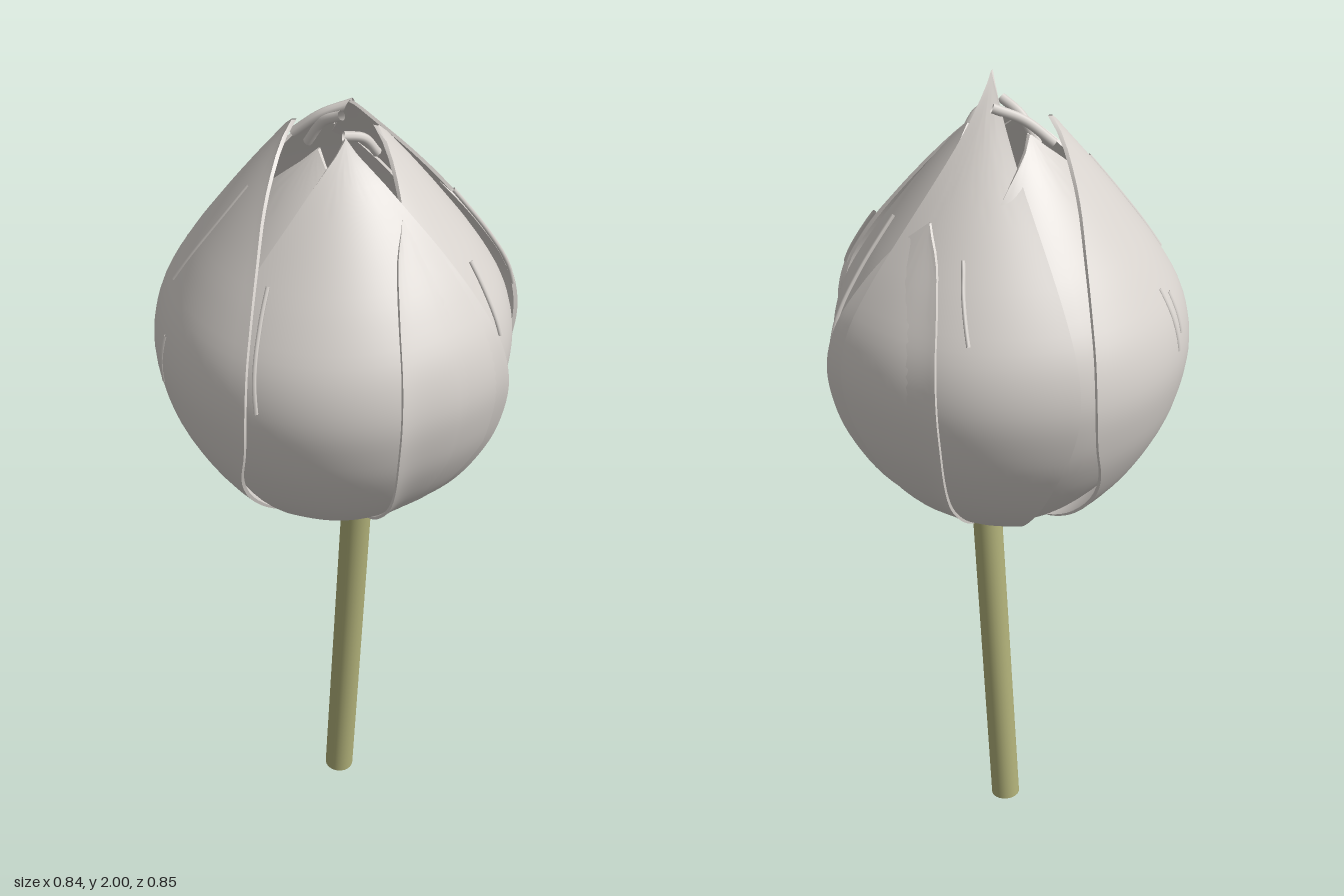
import * as THREE from 'three';
import { toCreasedNormals } from 'three/addons/utils/BufferGeometryUtils.js';

const rad = THREE.MathUtils.degToRad;

// Bud outline as (radius, height)
const outline = new THREE.SplineCurve([
  [0.05, 0.965], [0.11, 0.94], [0.2, 0.985], [0.3, 1.085], [0.37, 1.2], [0.405, 1.3], [0.418, 1.4],
  [0.398, 1.5], [0.343, 1.6], [0.272, 1.7], [0.195, 1.8], [0.105, 1.91], [0.04, 2.0],
].map(([r, y]) => new THREE.Vector2(r, y)));
const samples = outline.getPoints(240);

// Outline parameter where the upper bud reaches a height
const paramAt = (y) => {
  const i = samples.findIndex((p, k) => k > 30 && p.y >= y);
  return i < 0 ? 1 : i / 240;
};

// Petal width along its length, as a share of its full width
const widths = new THREE.SplineCurve([
  [0, 0.62], [0.12, 0.68], [0.3, 0.85], [0.45, 0.98], [0.6, 1], [0.75, 0.92],
  [0.86, 0.76], [0.94, 0.5], [1, 0.02],
].map(([t, w]) => new THREE.Vector2(t, w))).getPoints(160);
const widthAt = (t) => {
  const i = Math.max(1, widths.findIndex((p) => p.x >= t - 1e-6));
  const a = widths[i - 1], b = widths[i];
  return THREE.MathUtils.mapLinear(t, a.x, b.x, a.y, b.y);
};

// Point on the bud at an angle from the front, offset outwards
function onBud(p, angle, offset) {
  const r = Math.max(0.005, p.x + offset);
  return new THREE.Vector3(r * Math.sin(angle), p.y, r * Math.cos(angle));
}

// Thin closed shell: each row runs across the outside and back along the inside
function petalGeometry({ angle, half, top, offset = 0, lift = 0.012, lean = [0, 0] }) {
  const rows = 44, cols = 24, thick = 0.01, ring = 2 * (cols + 1);
  const tMax = paramAt(top), pos = [], index = [];
  for (let j = 0; j <= rows; j++) {
    const t = j / rows, p = outline.getPoint(t * tMax);
    const w = rad(half) * widthAt(t), bend = t ** 8;
    for (let k = 0; k < ring; k++) {
      const outer = k <= cols;
      const u = (outer ? k : ring - 1 - k) / cols * 2 - 1;
      const edge = lift * u ** 4 * Math.sin(Math.PI * t);
      const v = onBud(p, rad(angle) + u * w, offset + edge - (outer ? 0 : thick));
      pos.push(v.x + lean[0] * bend, v.y, v.z + lean[1] * bend);
      if (j < rows) {
        const a = j * ring + k, b = j * ring + (k + 1) % ring;
        index.push(a, b, a + ring, b, b + ring, a + ring);
      }
    }
  }
  const g = new THREE.BufferGeometry();
  g.setAttribute('position', new THREE.Float32BufferAttribute(pos, 3));
  g.setIndex(index);
  return toCreasedNormals(g, rad(50));
}

export function createModel() {
  const group = new THREE.Group();
  const petalMat = new THREE.MeshStandardMaterial({ color: 0xd8d3ce, side: THREE.DoubleSide });
  petalMat.name = 'petal white';
  const stemMat = new THREE.MeshStandardMaterial({ color: 0xb2b27a });
  stemMat.name = 'stem green';
  const add = (name, geometry, material) => {
    const mesh = new THREE.Mesh(geometry, material);
    mesh.name = name;
    group.add(mesh);
    return mesh;
  };

  // Leaning stem
  const stem = add('stem', new THREE.CylinderGeometry(0.036, 0.036, 0.918, 24), stemMat);
  stem.position.set(0.0325, 0.461, 0);
  stem.rotation.z = -Math.atan2(0.065, 0.92);

  // Petals
  const petals = {
    innerPetalFront: { angle: 20, half: 66, top: 1.89, offset: -0.022, lift: 0.004 },
    innerPetalBack: { angle: 140, half: 66, top: 1.91, offset: -0.022, lift: 0.004 },
    innerPetalSide: { angle: -98, half: 66, top: 1.9, offset: -0.022, lift: 0.004 },
    outerPetalFront: { angle: -44, half: 66, top: 1.92, offset: 0.006, lift: 0.015 },
    outerPetalLeft: { angle: 58, half: 52, top: 1.92, offset: -0.004 },
    outerPetalBack: { angle: -155, half: 40, top: 2, lean: [0.08, 0.06] },
    shortPetalLeft: { angle: 89, half: 21, top: 1.77, offset: -0.002, lift: 0.018 },
    shortPetalBack: { angle: 179, half: 24, top: 1.74, offset: -0.002, lift: 0.018 },
  };
  for (const [name, spec] of Object.entries(petals)) add(name, petalGeometry(spec), petalMat);

  // Base of the bud
  const base = add('budBase', new THREE.SphereGeometry(0.1, 24, 12), petalMat);
  base.scale.y = 0.25;
  base.position.y = 0.972;

  // Fine creases: start angle and height, end angle and height
  const creases = [
    [-24, 1.79, -31, 1.56], [-18.5, 1.47, -20, 1.34], [-69, 1.57, -70, 1.43], [20, 1.66, 25, 1.42],
    [-149, 1.55, -156, 1.7], [115, 1.65, 111, 1.5], [-64, 1.55, -66, 1.46], [152, 1.72, 155, 1.45],
  ];
  creases.forEach(([a0, y0, a1, y1], i) => {
    const pts = [];
    for (let k = 0; k <= 6; k++) {
      const s = k / 6, p = outline.getPoint(paramAt(y0 + (y1 - y0) * s));
      pts.push(onBud(p, rad(a0 + (a1 - a0) * s), 0.005));
    }
    add('crease' + (i + 1), new THREE.TubeGeometry(new THREE.CatmullRomCurve3(pts), 16, 0.005, 6), petalMat);
  });

  // Curled petal ends inside the opening
  const curls = [
    [[-0.1, 1.87, 0.05], [-0.05, 1.92, 0.01], [0, 1.95, -0.04]],
    [[-0.06, 1.86, 0.04], [-0.02, 1.92, 0.03], [0.03, 1.95, 0.02]],
    [[0.09, 1.87, -0.03], [0.08, 1.91, 0], [0.06, 1.92, 0.04]],
  ];
  curls.forEach((pts, i) => {
    const path = new THREE.CatmullRomCurve3(pts.map((p) => new THREE.Vector3(...p)));
    add('curledEnd' + (i + 1), new THREE.TubeGeometry(path, 16, 0.011, 8), petalMat);
  });
  return group;
}
